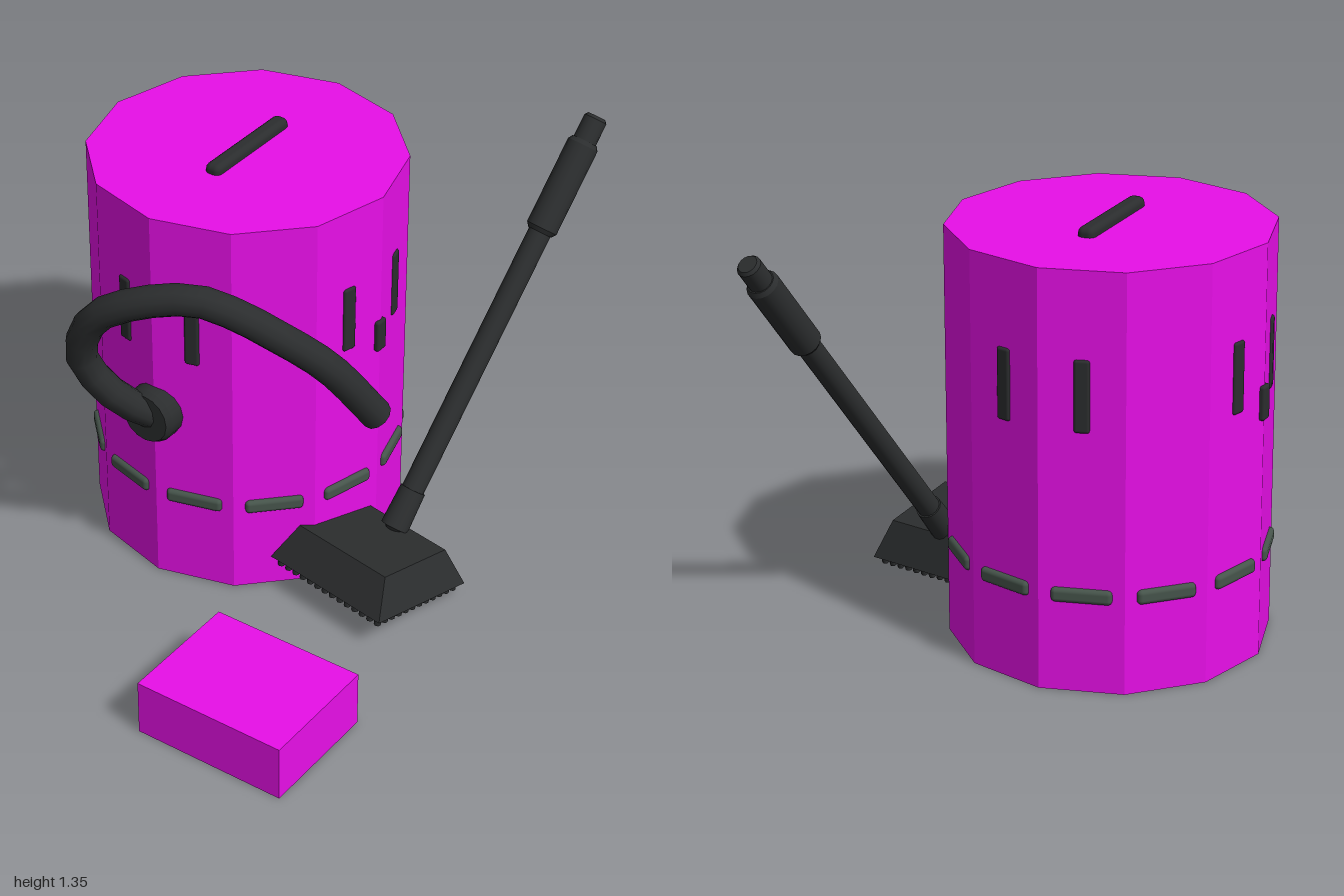
import * as THREE from 'three';
import { RoundedBoxGeometry } from 'three/addons/geometries/RoundedBoxGeometry.js';

const magenta = new THREE.MeshStandardMaterial({ color: 0xe80fe8, flatShading: true });
const dark = new THREE.MeshStandardMaterial({ color: 0x2b2d2e });
const darkFlat = new THREE.MeshStandardMaterial({ color: 0x2b2d2e, flatShading: true });
const greenGrey = new THREE.MeshStandardMaterial({ color: 0x46544b });

function add(parent, name, geometry, material, x = 0, y = 0, z = 0) {
  const mesh = new THREE.Mesh(geometry, material);
  mesh.name = name;
  mesh.position.set(x, y, z);
  parent.add(mesh);
  return mesh;
}

// Twelve-sided canister with its slots, bumper and lid grip
function buildCanister() {
  const g = new THREE.Group();
  g.name = 'canister';
  g.position.set(-0.217, 0, -0.162);
  const R = 0.502, apothem = R * Math.cos(Math.PI / 12), H = 1.32;
  add(g, 'body', new THREE.CylinderGeometry(R, R, H, 12), magenta, 0, H / 2, 0);
  add(g, 'lidGrip', new RoundedBoxGeometry(0.055, 0.06, 0.38, 2, 0.02), dark, 0, H, 0);

  const around = (name, geo, mat, angle, radius, y) => {
    add(g, name, geo, mat, radius * Math.sin(angle), y, radius * Math.cos(angle)).rotation.y = angle;
  };
  const dash = new RoundedBoxGeometry(0.185, 0.046, 0.04, 2, 0.014);
  const slot = new RoundedBoxGeometry(0.048, 0.225, 0.03, 2, 0.009);
  const latch = new RoundedBoxGeometry(0.046, 0.11, 0.03, 2, 0.009);
  for (let i = 0; i < 12; i++) {
    const angle = (i + 0.5) * Math.PI / 6;
    around('bumperDash', dash, greenGrey, angle, apothem - 0.005, 0.312);
    // Slots sit on the two facets next to each main direction
    if (i % 3 !== 1) around('ventSlot', slot, dark, angle, apothem - 0.007, 0.938);
  }
  for (const s of [-1, 1]) around('sideLatch', latch, dark, s * Math.PI / 2, R - 0.005, 0.825);
  return g;
}

// Curved hose leaving the front port
function buildHose() {
  const g = new THREE.Group();
  g.name = 'hoseAssembly';
  const port = new THREE.CylinderGeometry(0.082, 0.093, 0.02, 16);
  const collar = new THREE.CylinderGeometry(0.093, 0.093, 0.06, 16);
  add(g, 'portCollar', collar, dark, -0.217, 0.62, 0.338).rotation.x = Math.PI / 2;
  add(g, 'portRim', port, dark, -0.217, 0.62, 0.378).rotation.x = Math.PI / 2;
  const points = [
    [-0.217, 0.62, 0.35], [-0.28, 0.70, 0.435], [-0.36, 0.86, 0.505], [-0.295, 1.03, 0.525],
    [-0.185, 1.11, 0.5], [0, 1.155, 0.42], [0.1, 1.12, 0.365], [0.2, 1.04, 0.29],
    [0.315, 0.9, 0.17], [0.4, 0.675, 0.025],
  ].map(p => new THREE.Vector3(...p));
  const curve = new THREE.CatmullRomCurve3(points);
  add(g, 'hose', new THREE.TubeGeometry(curve, 20, 0.05, 12), dark);
  const cap = add(g, 'hoseEnd', new THREE.CircleGeometry(0.05, 12), dark);
  cap.position.copy(curve.getPoint(1));
  cap.quaternion.setFromUnitVectors(new THREE.Vector3(0, 0, 1), curve.getTangent(1));
  return g;
}

// Floor head: a tapered block with bristle tufts below
function buildHead() {
  const g = new THREE.Group();
  g.name = 'floorHead';
  g.position.set(0.39, 0.135, 0.03);
  g.rotation.set(-0.16, -0.175, 0, 'YXZ');
  const hull = new THREE.BoxGeometry(2, 0.12, 2);
  const p = hull.attributes.position;
  for (let i = 0; i < p.count; i++) {
    const top = p.getY(i) > 0;
    p.setX(i, p.getX(i) * (top ? 0.185 : 0.236));
    p.setZ(i, p.getZ(i) * (top ? 0.14 : 0.2));
  }
  add(g, 'headShell', hull, darkFlat);
  const tuft = new THREE.CylinderGeometry(0.013, 0.011, 0.04, 6);
  const cols = 14, rows = 12;
  const tufts = new THREE.InstancedMesh(tuft, dark, cols * rows);
  tufts.name = 'bristles';
  for (let i = 0; i < cols * rows; i++) {
    const x = -0.21 + 0.42 * (i % cols) / (cols - 1);
    const z = -0.175 + 0.35 * Math.floor(i / cols) / (rows - 1);
    tufts.setMatrixAt(i, new THREE.Matrix4().makeTranslation(x, -0.067, z));
  }
  g.add(tufts);
  return g;
}

// Straight wand, built along +y and leaned back
function buildWand() {
  const g = new THREE.Group();
  g.name = 'wand';
  const base = new THREE.Vector3(0.41, 0.2, -0.1);
  const axis = new THREE.Vector3(0.555, 1.31, -0.968).sub(base);
  const L = axis.length();
  g.position.copy(base);
  g.quaternion.setFromUnitVectors(new THREE.Vector3(0, 1, 0), axis.normalize());
  // [name, start, end, start radius, end radius], lengths as fractions of the wand
  const sections = [
    ['swivelCollar', -0.02, 0.075, 0.046, 0.042],
    ['pipe', 0.07, 0.74, 0.037, 0.037],
    ['handleLowerBevel', 0.715, 0.725, 0.04, 0.051],
    ['handle', 0.725, 0.93, 0.051, 0.051],
    ['handleUpperBevel', 0.93, 0.94, 0.051, 0.042],
    ['tip', 0.93, 0.993, 0.038, 0.038],
    ['tipBevel', 0.993, 1, 0.038, 0.03],
  ];
  for (const [name, a, b, r0, r1] of sections) {
    add(g, name, new THREE.CylinderGeometry(r1, r0, (b - a) * L, 16), dark, 0, (a + b) / 2 * L, 0);
  }
  add(g, 'swivelJoint', new THREE.SphereGeometry(0.045, 14, 10), dark);
  return g;
}

export function createModel() {
  const model = new THREE.Group();
  model.name = 'vacuumCleaner';
  model.add(buildCanister(), buildHose(), buildHead(), buildWand());
  // Loose block on the floor in front
  add(model, 'floorBlock', new THREE.BoxGeometry(0.513, 0.187, 0.41), magenta, 0.463, 0.0935, 0.795);
  return model;
}
